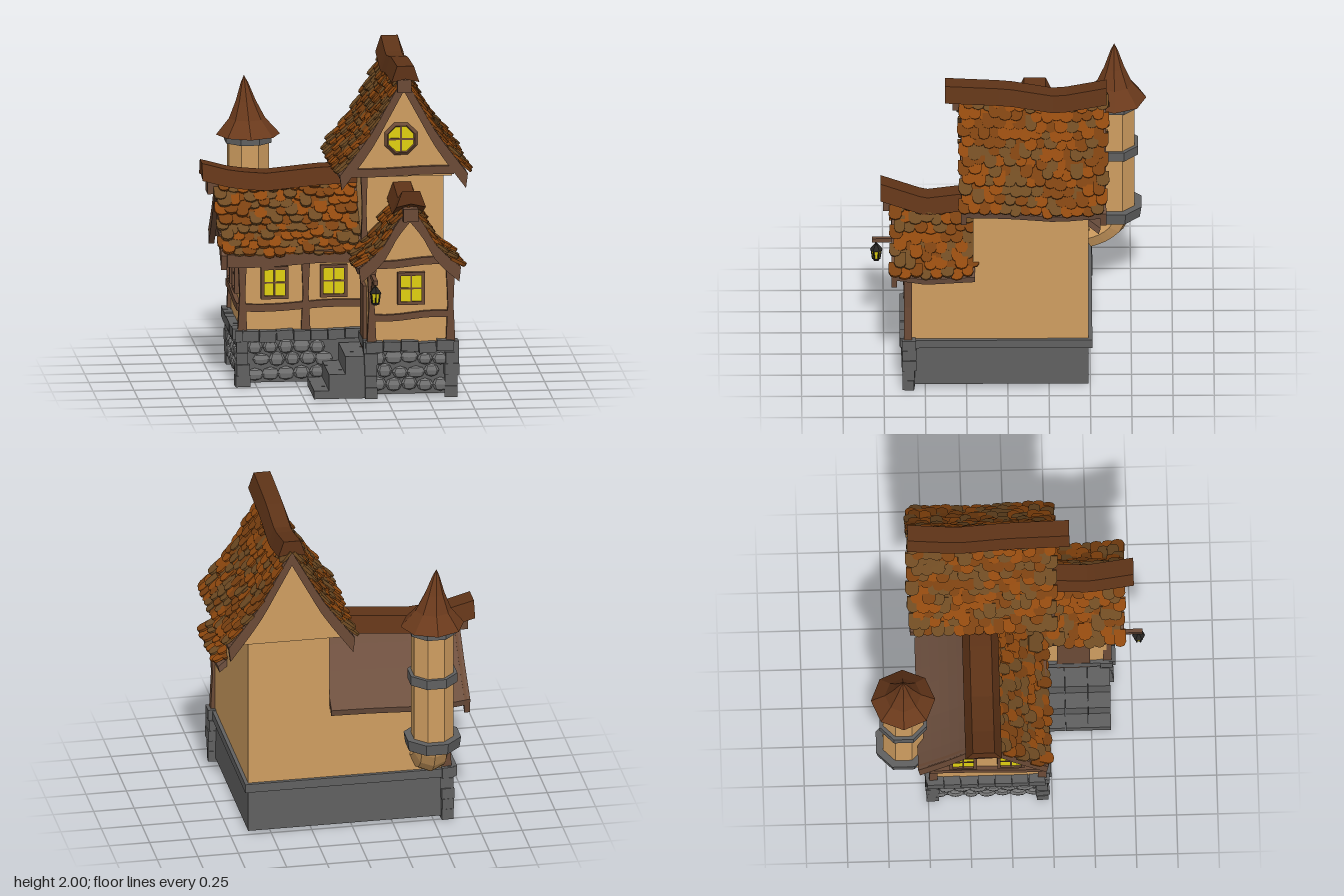
import * as THREE from 'three';
import { mergeGeometries } from 'three/addons/utils/BufferGeometryUtils.js';

const mat = (color) => new THREE.MeshStandardMaterial({ color, flatShading: true, side: THREE.DoubleSide });
const M = {
  wall: mat(0xcf9d60), timber: mat(0x6b4a36), ridge: mat(0x5e3317), roof: mat(0x6e503f), spire: mat(0x6b3a1c),
  stone: mat(0x606060), cobble: mat(0x767676), glass: mat(0xe0d010), iron: mat(0x262422),
};
const TILES = [mat(0x8f480e), mat(0x7a4010), mat(0x6e4a22)];

let seed = 7;
const rnd = (a = 0, b = 1) => {
  seed = (seed * 16807) % 2147483647;
  return a + (b - a) * (seed / 2147483647);
};

function add(parent, name, geo, material, x = 0, y = 0, z = 0) {
  const m = new THREE.Mesh(geo, material);
  m.name = name;
  m.position.set(x, y, z);
  parent.add(m);
  return m;
}
function group(parent, name, x = 0, y = 0, z = 0, ry = 0) {
  const g = new THREE.Group();
  g.name = name;
  g.position.set(x, y, z);
  g.rotation.y = ry;
  parent.add(g);
  return g;
}
const box = (p, name, m, w, h, d, x, y, z) => add(p, name, new THREE.BoxGeometry(w, h, d), m, x, y, z);

// Horizontal beam along x, gently bowed
function beam(p, name, w, h, d, x, y, z, bow = 0.012) {
  const g = new THREE.BoxGeometry(w, h, d, 6, 1, 1), a = g.attributes.position;
  for (let i = 0; i < a.count; i++) a.setY(i, a.getY(i) + bow * Math.sin(a.getX(i) / w * 5));
  return add(p, name, g, M.timber, x, y, z);
}
// Upright post, wider at its foot
function post(p, w, h, d, x, y, z) {
  const g = new THREE.BoxGeometry(w, h, d, 1, 4, 1), a = g.attributes.position;
  for (let i = 0; i < a.count; i++) a.setX(i, a.getX(i) * (1 + 0.25 * Math.cos((a.getY(i) / h + 0.5) * 6)));
  return add(p, 'post', g, M.timber, x, y + h / 2, z);
}

// Extruded prism centred on z, lifted by a function of z
function prism(points, depth, steps = 1, lift = null) {
  const g = new THREE.ExtrudeGeometry(new THREE.Shape(points.map(([x, y]) => new THREE.Vector2(x, y))),
    { depth, steps, bevelEnabled: false });
  g.translate(0, 0, -depth / 2);
  const a = g.attributes.position;
  if (lift) for (let i = 0; i < a.count; i++) a.setY(i, a.getY(i) + lift(a.getZ(i)));
  return g;
}
const mirrored = (half) => [...half.map(([u, y]) => [-u, y]).reverse(), ...half.filter(([u]) => u > 0)];

// L-shaped footprint grown by e, from y0 to y1
function lBlock(p, name, m, e, y0, y1) {
  const pts = [[-0.59 - e, 0.49 + e], [0.64 + e, 0.49 + e], [0.64 + e, -0.6 - e], [0.14 - e, -0.6 - e], [0.14 - e, -0.19 - e], [-0.59 - e, -0.19 - e]];
  const g = prism(pts, y1 - y0);
  g.rotateX(-Math.PI / 2);
  add(p, name, g, m, 0, (y0 + y1) / 2, 0);
}

// Single roof tile: rounded lower edge, lower end tipped outwards
const tileShape = new THREE.Shape([[-0.036, 0], [-0.038, -0.065], [-0.026, -0.088], [0, -0.096], [0.026, -0.088], [0.038, -0.065], [0.036, 0]]
  .map(([x, y]) => new THREE.Vector2(x, y)));
const tileGeo = new THREE.ExtrudeGeometry(tileShape, { depth: 0.014, bevelEnabled: false }).rotateX(-0.17);

// Flared gable roof with its ridge along local z
function gableRoof(p, name, o) {
  const g = group(p, name, o.x, 0, o.z, o.ry || 0);
  const curve = new THREE.SplineCurve(o.profile.map(([u, y]) => new THREE.Vector2(u, y)));
  const outer = mirrored(curve.getPoints(8).map((v) => [v.x, v.y]));
  const slab = (t) => [...outer, ...outer.map(([u, y]) => [u * 0.97, y - t]).reverse()];
  const L = o.length, k = o.ridge;
  const ridgeY = (z) => {
    for (let i = 1; i < k.length; i++) if (z <= k[i][0] || i === k.length - 1) {
      const t = (z - k[i - 1][0]) / (k[i][0] - k[i - 1][0]);
      return THREE.MathUtils.lerp(k[i - 1][1], k[i][1], t);
    }
  };
  const base = o.profile[0][1] + 0.07;
  const sag = (z) => 0.45 * (ridgeY(z) - base);
  add(g, 'roofSlab', prism(slab(0.04), L, 8, sag), M.roof);
  for (const e of o.barge) {
    const z = e * (L / 2 - 0.012);
    add(g, 'bargeBoard', prism(slab(0.09), 0.035, 1, () => sag(z)), M.timber, 0, 0, z);
  }
  // Tiles
  const len = curve.getLength(), rows = Math.round((len - 0.085) / 0.056), cols = Math.round(L / 0.062);
  const piles = TILES.map(() => []);
  for (const s of o.sides) for (let r = 0; r <= rows; r++) {
    const f = (len - 0.085) * r / rows / len, pt = curve.getPointAt(f), t = curve.getTangentAt(Math.min(1, f + 0.04));
    const a = t.x, b = -t.y;
    for (let c = 0; c < cols; c++) {
      const z = -L / 2 + (c + 0.5 + (r % 2 ? 0.22 : -0.22)) * L / cols + rnd(-0.006, 0.006);
      const m = new THREE.Matrix4().makeBasis(new THREE.Vector3(0, 0, -s), new THREE.Vector3(-s * a, b, 0), new THREE.Vector3(s * b, a, 0));
      m.scale(new THREE.Vector3(rnd(0.9, 1.12), rnd(0.9, 1.12), rnd(0.8, 1.5)));
      m.setPosition(s * pt.x, pt.y + sag(z) + rnd(-0.008, 0.008), z);
      piles[Math.floor(rnd(0, 2.999))].push(tileGeo.clone().applyMatrix4(m));
    }
  }
  piles.forEach((list, i) => add(g, 'roofTiles', mergeGeometries(list), TILES[i]));
  // Ridge cap and the block under its free end
  const z0 = k[0][0], z1 = k[k.length - 1][0], w = o.ridgeWidth;
  const cap = prism([[-w, -0.1], [-w * 0.6, 0], [w * 0.6, 0], [w, -0.1], [0, -0.08]], z1 - z0, 12, (z) => ridgeY(z + (z0 + z1) / 2));
  add(g, 'ridgeCap', cap, M.ridge, 0, 0, (z0 + z1) / 2);
  box(g, 'ridgeBlock', M.timber, w, 0.08, 0.09, 0, ridgeY(L / 2) - 0.13, L / 2 + 0.01);
}

// Four-pane window facing local +z
function squareWindow(p, x, y, z, ry = 0, w = 0.165, h = 0.2) {
  const g = group(p, 'window', x, y, z, ry);
  box(g, 'glass', M.glass, w - 0.02, h - 0.02, 0.02, 0, 0, 0);
  for (const s of [-1, 1]) {
    box(g, 'frameSide', M.timber, 0.02, h, 0.045, s * (w / 2 - 0.01), 0, 0);
    box(g, 'frameRail', M.timber, w, 0.02, 0.045, 0, s * (h / 2 - 0.01), 0);
  }
  box(g, 'mullion', M.timber, 0.01, h, 0.03, 0, 0, 0);
  box(g, 'transom', M.timber, w, 0.01, 0.03, 0, 0, 0);
}

// Cobbled face with cap stones, facing local +z, spanning local x from -w/2 to w/2
function stoneFace(p, x, z, ry, w, x0 = -w / 2, x1 = w / 2) {
  const g = group(p, 'stoneFace', x, 0, z, ry), n = Math.round(w / 0.1);
  const cob = new THREE.SphereGeometry(1, 8, 4);
  for (let r = 0; r < 3; r++) for (let cx = x0 + 0.08 + (r % 2) * 0.04; cx < x1 - 0.06; cx += 0.095)
    add(g, 'cobble', cob, M.cobble, cx, 0.08 + r * 0.082 + rnd(-0.008, 0.008), 0.005).scale.set(rnd(0.045, 0.056), rnd(0.036, 0.046), 0.022);
  for (let i = 0; i < n; i++) {
    const b = box(g, 'capStone', M.stone, w / n * 0.96, rnd(0.055, 0.07), 0.07, -w / 2 + (i + 0.5) * w / n, 0.318 + rnd(-0.006, 0.006), 0.015);
    b.rotation.z = rnd(-0.06, 0.06);
  }
}
function quoin(p, x, z) {
  for (let i = 0; i < 5; i++) {
    const b = box(p, 'cornerStone', M.stone, rnd(0.07, 0.09), 0.068, rnd(0.07, 0.09), x, 0.034 + i * 0.07, z);
    b.rotation.y = rnd(-0.1, 0.1);
  }
}

export function createModel() {
  const house = new THREE.Group();
  house.name = 'house';

  // Stone footing
  lBlock(house, 'footing', M.stone, 0, 0.02, 0.29);
  lBlock(house, 'footingCap', M.stone, 0.022, 0.285, 0.34);
  stoneFace(house, -0.225, 0.195, 0, 0.73, -0.365, 0.2);
  stoneFace(house, 0.39, 0.605, 0, 0.54);
  stoneFace(house, -0.595, -0.15, -Math.PI / 2, 0.72);
  for (const [x, z] of [[-0.585, 0.19], [-0.585, -0.475], [0.155, 0.6], [0.645, 0.6]]) quoin(house, x, z);

  // Steps climbing to the door in the side of the front arm
  const steps = group(house, 'steps');
  [[-0.19, 0.05], [-0.1, 0.15], [0.0, 0.26]].forEach(([x, h]) => {
    for (let i = 0; i < 3; i++) box(steps, 'step', M.stone, 0.14 - x, h, 0.136, (0.14 + x) / 2, h / 2, 0.28 + i * 0.138 - 0.005 + 0.0);
  });
  box(house, 'door', M.timber, 0.03, 0.4, 0.2, 0.135, 0.47, 0.4);

  // Plaster walls
  lBlock(house, 'walls', M.wall, 0, 0.34, 0.82);
  box(house, 'towerWalls', M.wall, 0.5, 0.52, 0.7, 0.39, 1.06, -0.14);
  add(house, 'towerGable', prism(mirrored([[0, 1.84], [0.2, 1.5], [0.31, 1.34], [0.3, 1.29]]), 0.79), M.wall, 0.385, 0, -0.145);
  add(house, 'frontGable', prism(mirrored([[0, 1.17], [0.07, 1.06], [0.15, 0.9], [0.25, 0.8]]), 0.45), M.wall, 0.385, 0, 0.375);
  add(house, 'wingGable', prism(mirrored([[0, 1.18], [0.2, 0.94], [0.34, 0.8]]), 0.73), M.wall, -0.225, 0, -0.16).rotation.y = -Math.PI / 2;

  // Roofs
  gableRoof(house, 'towerRoof', {
    x: 0.39, z: -0.155, length: 0.87, sides: [1, -1], barge: [1, -1], ridgeWidth: 0.085,
    profile: [[0, 1.91], [0.1, 1.73], [0.21, 1.54], [0.39, 1.3]],
    ridge: [[-0.445, 1.985], [-0.145, 1.925], [0.155, 1.98], [0.535, 2.0]],
  });
  gableRoof(house, 'frontRoof', {
    x: 0.385, z: 0.45, length: 0.5, sides: [1, -1], barge: [1], ridgeWidth: 0.09,
    profile: [[0, 1.18], [0.08, 1.08], [0.17, 0.93], [0.31, 0.805]],
    ridge: [[-0.25, 1.25], [0.05, 1.21], [0.32, 1.31]],
  });
  gableRoof(house, 'wingRoof', {
    x: -0.285, z: -0.17, ry: -Math.PI / 2, length: 0.85, sides: [1], barge: [1], ridgeWidth: 0.11,
    profile: [[0, 1.2], [0.2, 0.98], [0.395, 0.805]],
    ridge: [[-0.425, 1.29], [-0.18, 1.28], [0.13, 1.25], [0.33, 1.27], [0.515, 1.32]],
  });

  // Timber framing
  const frame = group(house, 'timberFrame');
  for (const [x, z] of [[-0.585, 0.19], [-0.2, 0.19], [0.16, 0.605], [0.64, 0.605], [-0.585, -0.47]]) post(frame, 0.045, 0.46, 0.05, x, 0.34, z);
  post(frame, 0.035, 0.5, 0.04, 0.155, 0.82, 0.21);
  beam(frame, 'wingRail', 0.74, 0.045, 0.045, -0.225, 0.495, 0.19);
  beam(frame, 'wingTopBeam', 0.8, 0.08, 0.06, -0.28, 0.79, 0.2);
  beam(frame, 'frontRail', 0.48, 0.04, 0.045, 0.4, 0.505, 0.605);
  beam(frame, 'frontTopBeam', 0.48, 0.045, 0.05, 0.39, 0.835, 0.605);
  beam(frame, 'towerGableBeam', 0.62, 0.05, 0.05, 0.385, 1.325, 0.255, 0.006);
  for (const y of [0.495, 0.82]) beam(frame, 'sideRail', 0.68, 0.045, 0.045, -0.595, y, -0.15).rotation.y = Math.PI / 2;
  post(frame, 0.04, 0.34, 0.04, -0.595, 0.82, -0.16);

  // Windows
  squareWindow(house, -0.39, 0.64, 0.2);
  squareWindow(house, -0.03, 0.645, 0.2);
  squareWindow(house, 0.4, 0.675, 0.61);
  for (const z of [-0.29, 0.0]) squareWindow(house, -0.6, 0.65, z, -Math.PI / 2);
  const round = group(house, 'roundWindow', 0.375, 1.525, 0.255);
  add(round, 'glass', new THREE.CylinderGeometry(0.085, 0.085, 0.02, 8).rotateX(Math.PI / 2).rotateZ(Math.PI / 8), M.glass);
  add(round, 'ring', new THREE.TorusGeometry(0.09, 0.018, 4, 8).rotateZ(Math.PI / 8), M.timber);
  box(round, 'mullion', M.timber, 0.012, 0.17, 0.03, 0, 0, 0);
  box(round, 'transom', M.timber, 0.17, 0.012, 0.03, 0, 0, 0);

  // Turret on the back wall
  const turret = group(house, 'turret', -0.465, 0, -0.65);
  const ring = (name, m, r, y0, y1, rb = r) => add(turret, name, new THREE.CylinderGeometry(r, rb, y1 - y0, 8).rotateY(Math.PI / 8), m, 0, (y0 + y1) / 2, 0);
  ring('shaft', M.wall, 0.132, 0.6, 1.36);
  ring('footBand', M.stone, 0.178, 0.575, 0.645, 0.168);
  ring('middleBand', M.stone, 0.155, 1.01, 1.07);
  ring('topBand', M.stone, 0.15, 1.335, 1.385);
  const bend = new THREE.CatmullRomCurve3([[0, 0.6, 0], [0, 0.53, 0.025], [0, 0.47, 0.1], [0, 0.445, 0.17]].map((v) => new THREE.Vector3(...v)));
  add(turret, 'curvedFoot', new THREE.TubeGeometry(bend, 6, 0.11, 8), M.wall);
  const spire = new THREE.LatheGeometry([[0, 1.375], [0.195, 1.38], [0.11, 1.48], [0.06, 1.59], [0.022, 1.7], [0, 1.745]].map(([r, y]) => new THREE.Vector2(r, y)), 8);
  const sp = spire.attributes.position;
  for (let i = 0; i < sp.count; i++) sp.setX(i, sp.getX(i) - 0.025 * Math.max(0, (sp.getY(i) - 1.4) / 0.345));
  add(turret, 'spire', spire, M.spire);

  // Lantern on its bracket
  const lantern = group(house, 'lantern', 0.165, 0, 0.795);
  box(lantern, 'bracketArm', M.timber, 0.025, 0.028, 0.22, 0, 0.755, -0.085);
  box(lantern, 'bracketBrace', M.timber, 0.02, 0.02, 0.12, 0, 0.705, -0.135).rotation.x = -0.85;
  add(lantern, 'hook', new THREE.CylinderGeometry(0.006, 0.006, 0.05, 5), M.iron, 0, 0.735, 0);
  add(lantern, 'cap', new THREE.CylinderGeometry(0.012, 0.04, 0.035, 6), M.iron, 0, 0.707, 0);
  add(lantern, 'glass', new THREE.CylinderGeometry(0.03, 0.02, 0.07, 6), M.glass, 0, 0.657, 0);
  add(lantern, 'foot', new THREE.CylinderGeometry(0.024, 0.018, 0.014, 6), M.iron, 0, 0.622, 0);
  for (let i = 0; i < 6; i++) {
    const bar = group(lantern, 'cageBar', 0, 0.657, 0, i * Math.PI / 3);
    box(bar, 'bar', M.iron, 0.007, 0.075, 0.007, 0, 0, 0.027).rotation.x = 0.14;
  }
  return house;
}
